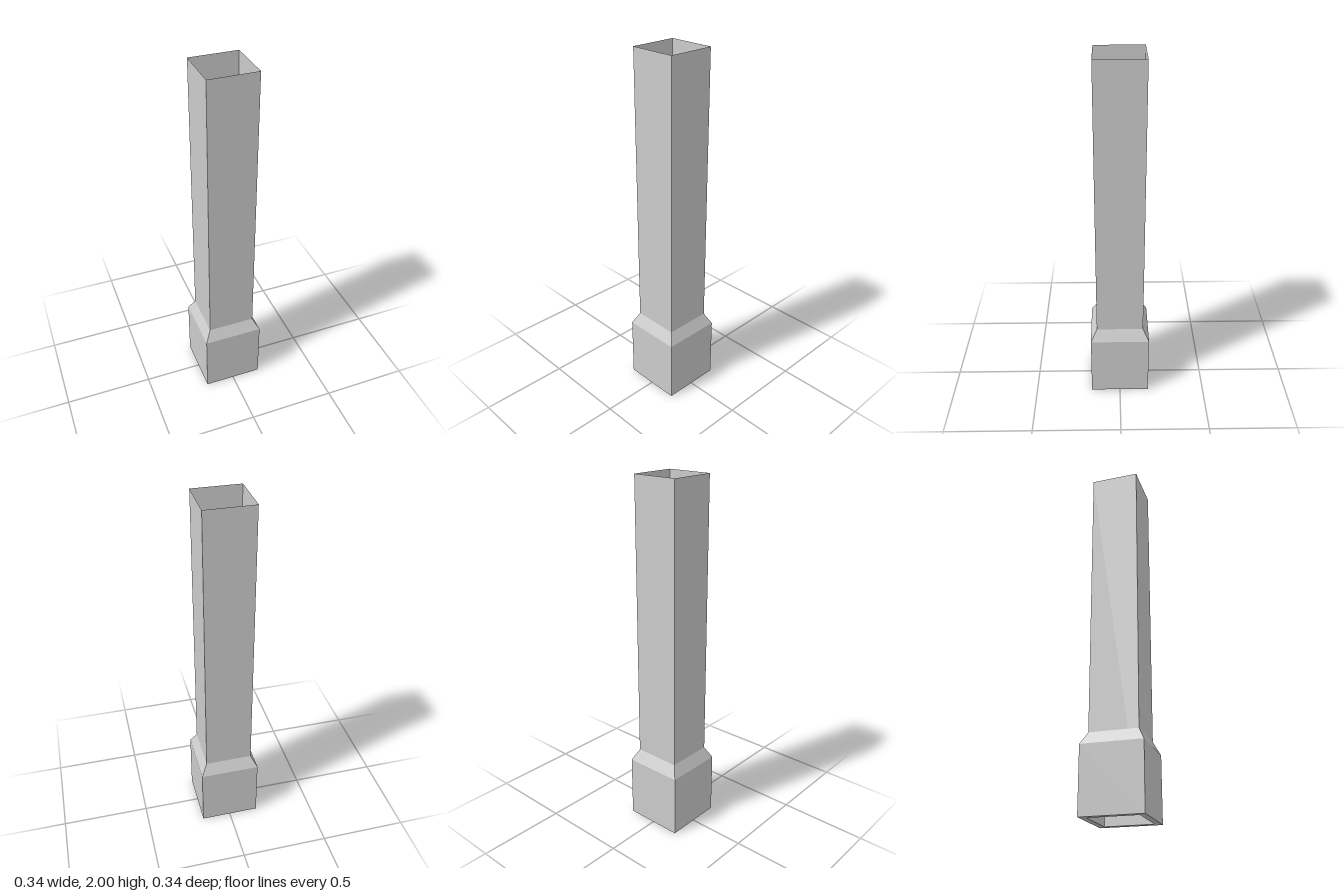
import * as THREE from 'three';

// Square shell swept from [half width, height] points
function squareShell(name, profile, material) {
  const points = profile.map(([half, y]) => new THREE.Vector2(half * Math.SQRT2, y));
  const mesh = new THREE.Mesh(new THREE.LatheGeometry(points, 4, Math.PI / 4), material);
  mesh.name = name;
  return mesh;
}

export function createModel() {
  const group = new THREE.Group();
  group.name = 'squarePipe';
  const material = new THREE.MeshStandardMaterial({
    color: 0xcccccc, flatShading: true, side: THREE.DoubleSide,
  });
  const tube = 0.134, collar = 0.169;

  // Thin open tube running the full height
  group.add(squareShell('tube', [[tube, 0], [tube, 2]], material));

  // Wider collar at the foot, with a bottom rim and a sloped shoulder
  group.add(squareShell('baseCollar',
    [[tube, 0], [collar, 0], [collar, 0.36], [tube, 0.427]], material));

  return group;
}
